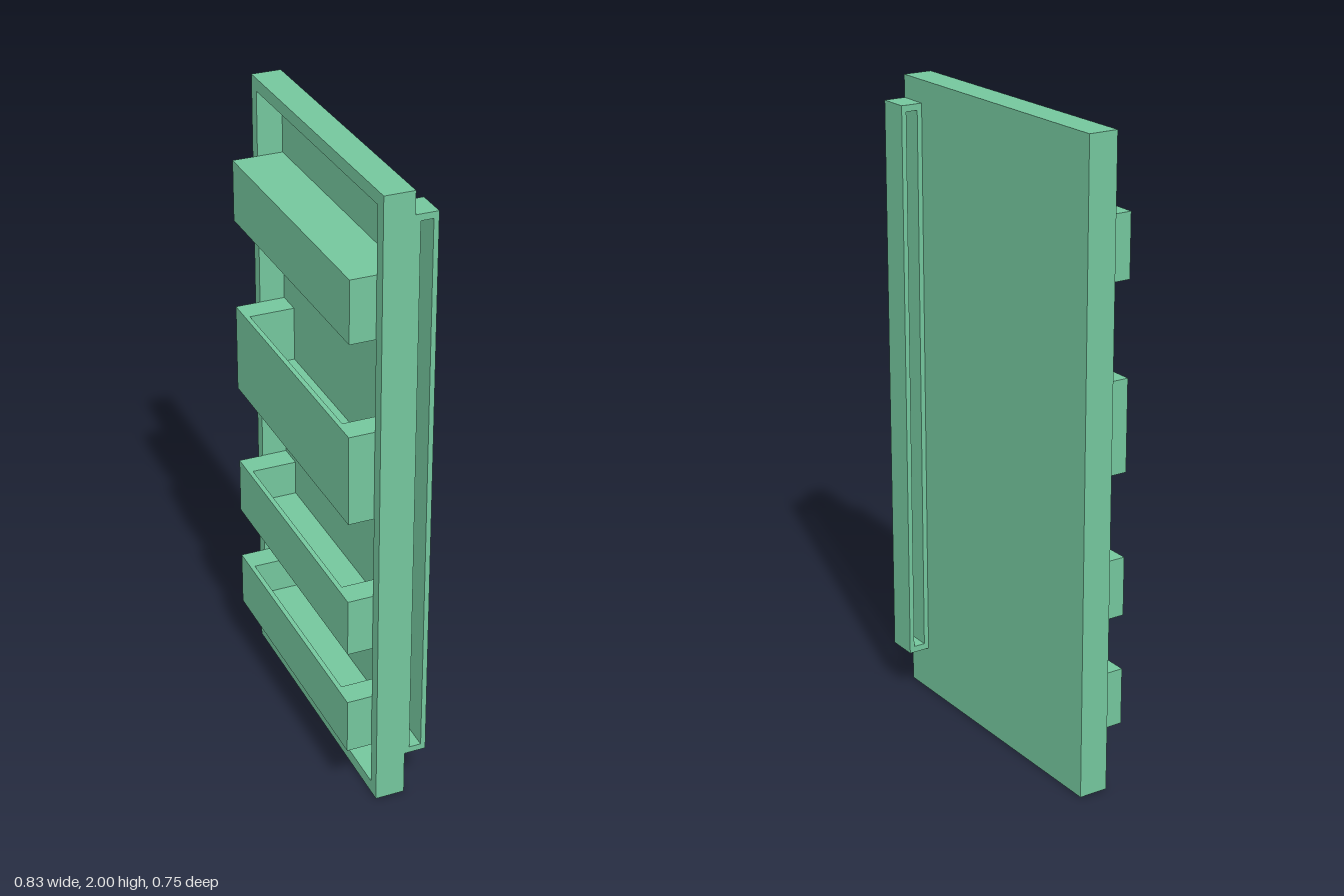
import * as THREE from 'three';

const material = new THREE.MeshStandardMaterial({ color: 0x74c69d, flatShading: true });

// Box given by its minimum and maximum corners
function box(name, [x0, y0, z0], [x1, y1, z1]) {
  const mesh = new THREE.Mesh(new THREE.BoxGeometry(x1 - x0, y1 - y0, z1 - z0), material);
  mesh.position.set((x0 + x1) / 2, (y0 + y1) / 2, (z0 + z1) / 2);
  mesh.name = name;
  return mesh;
}

function rectangle(Type, x0, y0, x1, y1) {
  return new Type([[x0, y0], [x1, y0], [x1, y1], [x0, y1]].map(([x, y]) => new THREE.Vector2(x, y)));
}

// Rectangular frame in the xy plane, extruded along +z from z = 0
function frame(name, outer, inner, depth) {
  const shape = rectangle(THREE.Shape, ...outer);
  shape.holes.push(rectangle(THREE.Path, ...inner));
  const mesh = new THREE.Mesh(new THREE.ExtrudeGeometry(shape, { depth, bevelEnabled: false }), material);
  mesh.name = name;
  return mesh;
}

const HALF = 0.4735;      // half width of the door
const INNER = 0.435;      // half width of the recess
const BACK = -0.0465, FRONT = 0.0465;
const RECESS = -0.034;    // floor of the recess
const SHELF_FRONT = 0.126;

// Tray with thick ends, a thin front lip and a raised floor
function tray(y0, y1) {
  const group = new THREE.Group();
  group.name = 'shelf';
  const end = 0.08, lip = 0.015, floor = y0 + (y1 - y0) * 0.38;
  group.add(box('shelfFloor', [-INNER + end, y0, RECESS], [INNER - end, floor, SHELF_FRONT - lip]));
  group.add(box('shelfLip', [-INNER, y0, SHELF_FRONT - lip], [INNER, y1, SHELF_FRONT]));
  for (const s of [-1, 1]) {
    const a = s * INNER, b = s * (INNER - end);
    group.add(box('shelfEnd', [Math.min(a, b), y0, RECESS], [Math.max(a, b), y1, SHELF_FRONT - lip]));
  }
  return group;
}

export function createModel() {
  const model = new THREE.Group();
  model.name = 'openDoor';

  // Door: thin back panel and a deep surrounding frame
  model.add(box('doorPanel', [-HALF, 0, BACK], [HALF, 2, RECESS]));
  const rim = frame('doorFrame', [-HALF, 0, HALF, 2], [-INNER, 0.04, INNER, 1.96], FRONT - RECESS);
  rim.position.z = RECESS;
  model.add(rim);

  // Three open trays and a closed compartment at the top
  for (const [y0, y1] of [[0.18, 0.36], [0.535, 0.72], [0.985, 1.27]]) model.add(tray(y0, y1));
  model.add(box('closedCompartment', [-INNER, 1.56, RECESS], [INNER, 1.755, SHELF_FRONT]));

  // Handle: upright frame on the back, slotted through sideways
  const handle = frame('handle', [0.0465, 0.145, 0.1155, 1.93], [0.062, 0.165, 0.1, 1.91], 0.097);
  handle.rotation.y = Math.PI / 2;
  handle.position.x = HALF - 0.097;
  model.add(handle);

  // The door stands swung open
  model.rotation.y = -0.7545;
  model.position.set(-0.013, 0, -0.018);
  const root = new THREE.Group();
  root.name = 'doorModel';
  root.add(model);
  return root;
}
